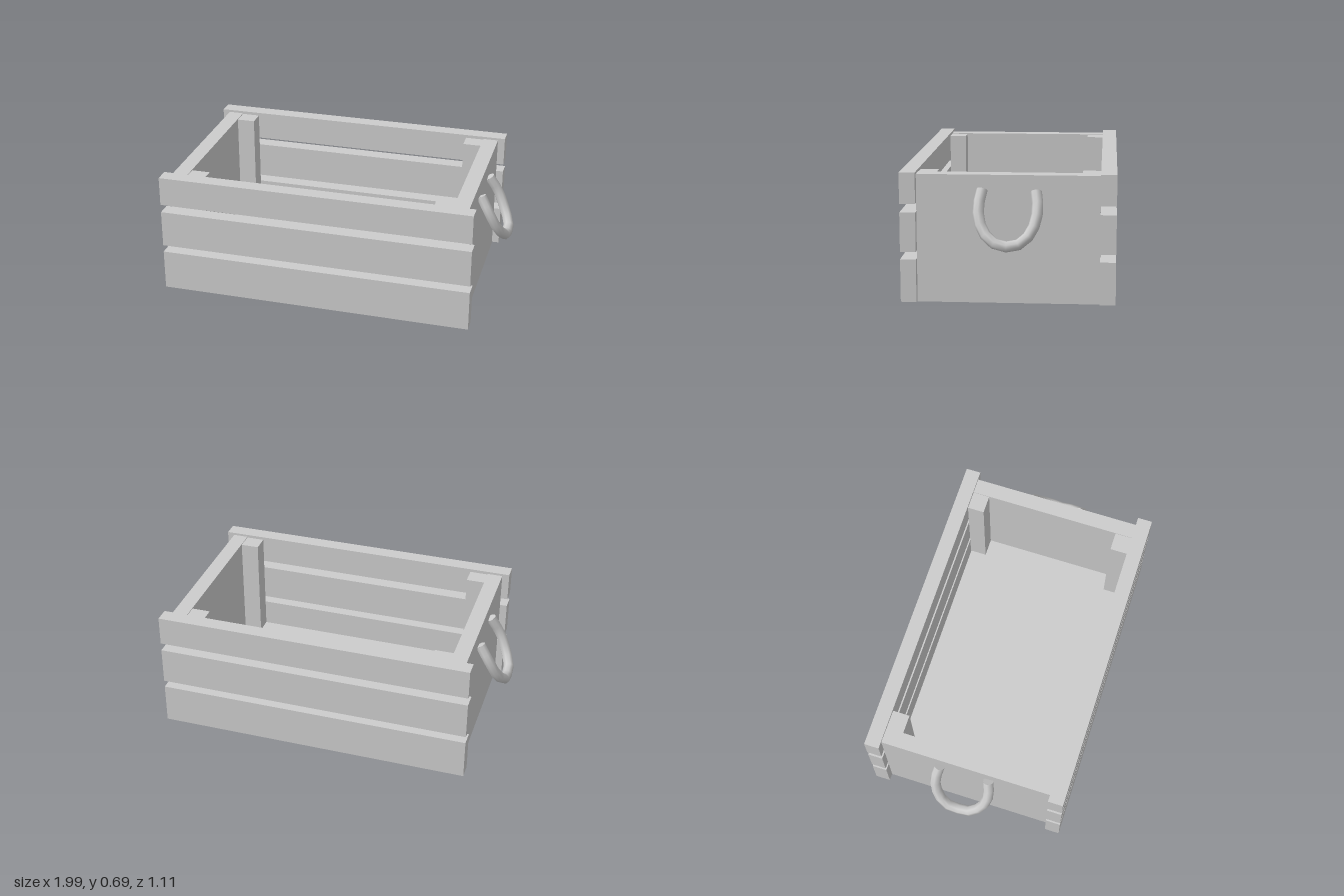
import * as THREE from 'three';

const material = new THREE.MeshStandardMaterial({ color: 0xcccccc });

// Box given by its minimum and maximum corners
function board(name, [x0, y0, z0], [x1, y1, z1]) {
  const mesh = new THREE.Mesh(new THREE.BoxGeometry(x1 - x0, y1 - y0, z1 - z0), material);
  mesh.position.set((x0 + x1) / 2, (y0 + y1) / 2, (z0 + z1) / 2);
  mesh.name = name;
  return mesh;
}

// Hanging rope loop: x leans outward as the rope drops
function ropeHandle(side) {
  const points = [
    [0.835, 0.597, 0.13], [0.89, 0.5, 0.146], [0.935, 0.405, 0.12], [0.967, 0.347, 0.06],
    [0.97, 0.33, -0.005],
    [0.967, 0.347, -0.075], [0.935, 0.405, -0.13], [0.89, 0.5, -0.156], [0.835, 0.59, -0.146],
  ].map(([x, y, z]) => new THREE.Vector3(side * x, y, z));
  const curve = new THREE.CatmullRomCurve3(points);
  const radius = 0.029;
  const handle = new THREE.Group();
  handle.name = side > 0 ? 'leftHandle' : 'rightHandle';

  const rope = new THREE.Mesh(new THREE.TubeGeometry(curve, 12, radius, 8), material);
  rope.name = 'rope';
  handle.add(rope);

  // Flat caps on the rope ends
  for (const t of [0, 1]) {
    const cap = new THREE.Mesh(new THREE.CircleGeometry(radius, 8), material);
    const outward = curve.getTangent(t).multiplyScalar(t ? 1 : -1);
    cap.position.copy(curve.getPoint(t));
    cap.quaternion.setFromUnitVectors(new THREE.Vector3(0, 0, 1), outward);
    cap.name = 'ropeEnd';
    handle.add(cap);
  }
  return handle;
}

export function createModel() {
  const crate = new THREE.Group();
  crate.name = 'crate';

  // Floor, raised slightly off the ground
  crate.add(board('floor', [-0.74, 0.01, -0.472], [0.74, 0.08, 0.472]));

  // Long slats on the front and back
  const slatHeights = [[0.007, 0.232], [0.272, 0.478], [0.523, 0.685]];
  for (const [y0, y1] of slatHeights) {
    crate.add(board('frontSlat', [-0.865, y0, 0.471], [0.865, y1, 0.553]));
    crate.add(board('backSlat', [-0.865, y0, -0.556], [0.865, y1, -0.474]));
  }

  // Ends: solid panel, two inner corner posts and a rope handle each
  for (const side of [1, -1]) {
    const span = (a, b) => (side > 0 ? [a, b] : [-b, -a]);
    const [p0, p1] = span(0.74, 0.825);
    crate.add(board('endPanel', [p0, 0, -0.474], [p1, 0.672, 0.471]));
    const [c0, c1] = span(0.638, 0.74);
    crate.add(board('frontPost', [c0, 0.08, 0.375], [c1, 0.668, 0.471]));
    crate.add(board('backPost', [c0, 0.08, -0.474], [c1, 0.668, -0.38]));
    crate.add(ropeHandle(side));
  }
  return crate;
}
